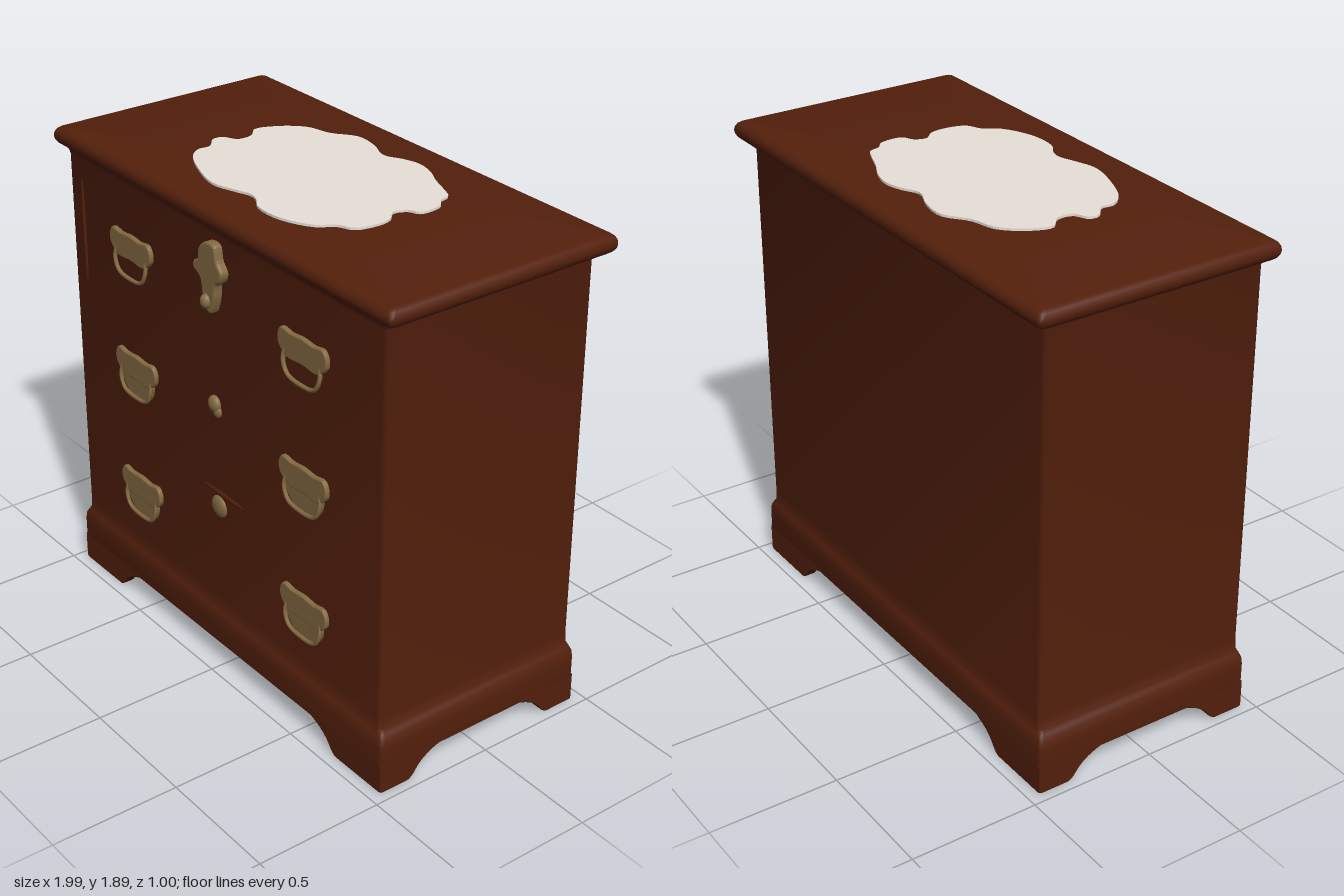
import * as THREE from 'three';
import { toCreasedNormals } from 'three/addons/utils/BufferGeometryUtils.js';

// Closed skin through rounded-rectangle rings: [halfWidth, back z, front z, y]
function ringSkin(levels) {
  const pos = [], index = [], n = 16;
  for (const [hx, z0, z1, y] of levels) {
    const r = Math.min(0.018, hx), zc = (z0 + z1) / 2, hz = (z1 - z0) / 2;
    for (let k = 0; k < 4; k++) {
      const sx = k === 0 || k === 3 ? 1 : -1, sz = k < 2 ? 1 : -1;
      for (let i = 0; i < 4; i++) {
        const a = (k + i / 3) * Math.PI / 2;
        pos.push(sx * (hx - r) + r * Math.cos(a), y, zc + sz * (hz - r) + r * Math.sin(a));
      }
    }
  }
  for (let l = 0; l < levels.length - 1; l++) {
    for (let j = 0; j < n; j++) {
      const a = l * n + j, b = l * n + (j + 1) % n;
      index.push(a, a + n, b, b, a + n, b + n);
    }
  }
  const geo = new THREE.BufferGeometry();
  geo.setAttribute('position', new THREE.Float32BufferAttribute(pos, 3));
  geo.setIndex(index);
  return toCreasedNormals(geo, 0.7);
}

export function createModel() {
  const model = new THREE.Group();
  model.name = 'chestOfDrawers';
  const mat = (name, color) => {
    const m = new THREE.MeshStandardMaterial({ color });
    m.name = name;
    return m;
  };
  const wood = mat('mahogany', 0x54200c);
  const brass = mat('agedBrass', 0x846a42);
  const linen = mat('linen', 0xebe4dc);

  const add = (name, geo, material, x = 0, y = 0, z = 0, parent = model) => {
    const mesh = new THREE.Mesh(geo, material);
    mesh.name = name;
    mesh.position.set(x, y, z);
    parent.add(mesh);
    return mesh;
  };
  const extrude = (shape, depth, bevel = 0) => new THREE.ExtrudeGeometry(shape, {
    depth, curveSegments: 10, bevelEnabled: bevel > 0, bevelSize: bevel,
    bevelThickness: bevel, bevelOffset: -bevel, bevelSegments: 3,
  });
  // Closed smooth outline through a few points
  const outline = (pts, n = 60) => {
    const curve = new THREE.CatmullRomCurve3(
      pts.map(([x, y]) => new THREE.Vector3(x, y, 0)), true, 'centripetal');
    return new THREE.Shape(curve.getPoints(n).slice(0, -1).map(p => new THREE.Vector2(p.x, p.y)));
  };

  // Case: recessed underside, plinth, ovolo, walls, cove and bullnose top in one skin
  const levels = [
    [0, 0, 0, 0.13], [0.917, 0.408, 0.13], [0.917, 0.408, 0.105], [0.963, 0.454, 0.105],
    [0.965, 0.456, 0.13], [0.965, 0.456, 0.195], [0.961, 0.454, 0.222], [0.949, 0.447, 0.242],
    [0.94, 0.442, 0.255], [0.937, 0.441, 0.3], [0.937, 0.441, 1.79], [0.942, 0.445, 1.808],
    [0.952, 0.452, 1.817],
  ].map(l => (l.length === 3 ? [l[0], -l[1], l[1], l[2]] : l));
  for (let i = 0; i <= 8; i++) {
    const a = (i / 8 - 0.5) * Math.PI, inset = 0.03 * (1 - Math.cos(a));
    levels.push([0.995 - inset, -0.5 + inset, 0.475 - inset, 1.852 + 0.035 * Math.sin(a)]);
  }
  levels.push([0, 0, 0, 1.887]);
  add('case', ringSkin(levels), wood);

  // Bracket feet: two shaped boards meeting at each corner
  const footShape = (s, half, foot, arch) => {
    const shape = new THREE.Shape();
    shape.moveTo(s * half, 0.118);
    shape.lineTo(s * half, 0.016);
    shape.quadraticCurveTo(s * half, 0.004, s * (half - 0.015), 0.004);
    shape.lineTo(s * (foot + 0.02), 0.004);
    shape.quadraticCurveTo(s * foot, 0.006, s * (foot - 0.02), 0.035);
    shape.quadraticCurveTo(s * (foot * 0.6 + arch * 0.4), 0.08, s * arch, 0.103);
    shape.lineTo(s * arch, 0.118);
    return shape;
  };
  for (const sx of [1, -1]) {
    for (const sz of [1, -1]) {
      const long = extrude(footShape(sx, 0.964, 0.69, 0.56), 0.036, 0.005).translate(0, 0, -0.018);
      const short = extrude(footShape(-sz, 0.455, 0.315, 0.19), 0.036, 0.005)
        .translate(0, 0, -0.018).rotateY(Math.PI / 2);
      add('longFootBracket', long, wood, 0, 0, sz * 0.432);
      add('sideFootBracket', short, wood, sx * 0.941, 0, 0);
    }
  }

  // Scalloped cloth on the top, points given as x and z
  const cloth = [
    [0, -0.303], [0.07, -0.335], [0.14, -0.352], [0.22, -0.335], [0.29, -0.3], [0.38, -0.265],
    [0.42, -0.245], [0.435, -0.2], [0.468, -0.17], [0.472, -0.08], [0.43, -0.055], [0.415, -0.01],
    [0.455, 0.04], [0.46, 0.12], [0.44, 0.18], [0.385, 0.21], [0.34, 0.27], [0.22, 0.325],
    [0.1, 0.325], [0.05, 0.295], [0, 0.283], [-0.07, 0.305], [-0.16, 0.328], [-0.28, 0.3],
    [-0.41, 0.24], [-0.45, 0.19], [-0.45, 0.14], [-0.5, 0.09], [-0.495, 0.05], [-0.445, 0.02],
    [-0.445, -0.04], [-0.49, -0.09], [-0.465, -0.17], [-0.42, -0.23], [-0.38, -0.26],
    [-0.29, -0.285], [-0.2, -0.345], [-0.1, -0.338],
  ];
  add('tableCloth', extrude(outline(cloth.map(([x, z]) => [x, -z]), 150), 0.009).rotateX(-Math.PI / 2),
    linen, 0, 1.887, 0);

  // Bail pulls: lobed backplate, hanging handle, and a lower plate on two rows
  const plateGeo = extrude(outline([
    [-0.115, 0.083], [-0.06, 0.078], [0, 0.083], [0.06, 0.078], [0.115, 0.083], [0.133, 0.055],
    [0.13, 0.02], [0.1, -0.01], [0.075, -0.02], [0, -0.015], [-0.075, -0.02], [-0.1, -0.01],
    [-0.13, 0.02], [-0.133, 0.055],
  ]), 0.014, 0.006);
  const lowerGeo = extrude(outline([
    [-0.1, 0.01], [0.1, 0.01], [0.098, -0.045], [0.06, -0.085], [-0.06, -0.085], [-0.098, -0.045],
  ]), 0.008, 0.004);
  const bailGeo = new THREE.TubeGeometry(new THREE.CatmullRomCurve3([
    [-0.095, 0.02, 0.012], [-0.1, -0.03, 0.02], [-0.075, -0.075, 0.022], [0, -0.088, 0.022],
    [0.075, -0.075, 0.022], [0.1, -0.03, 0.02], [0.095, 0.02, 0.012],
  ].map(p => new THREE.Vector3(...p))), 32, 0.008, 8);
  [1.52, 1.03, 0.51].forEach((y, row) => {
    for (const s of [1, -1]) {
      const pull = new THREE.Group();
      pull.name = s > 0 ? 'leftPull' : 'rightPull';
      pull.position.set(s * 0.517, y, 0.438);
      add('backplate', plateGeo, brass, 0, 0, 0, pull);
      add('bail', bailGeo, brass, 0, 0, 0, pull);
      if (row > 0) add('lowerPlate', lowerGeo, brass, 0, 0, 0, pull);
      model.add(pull);
    }
  });

  // Lock plate on the top drawer with a hanging drop
  add('lockPlate', extrude(outline([
    [-0.01, 1.765], [0.045, 1.765], [0.06, 1.71], [0.085, 1.675], [0.075, 1.64], [0.05, 1.62],
    [0.04, 1.56], [0.012, 1.5], [-0.025, 1.525], [-0.045, 1.62], [-0.083, 1.645], [-0.083, 1.67],
    [-0.055, 1.69], [-0.05, 1.73],
  ]), 0.026, 0.01), brass, 0, 0, 0.438);
  add('lockDrop', new THREE.SphereGeometry(0.024, 16, 12).scale(1, 1.2, 1), brass, -0.005, 1.545, 0.472);

  // Keyhole covers on the lower drawers
  const button = new THREE.SphereGeometry(1, 20, 14);
  add('middleKeyhole', button, brass, -0.01, 1.13, 0.445).scale.set(0.032, 0.033, 0.022);
  add('middleKeyholeTail', button, brass, 0.005, 1.105, 0.445).scale.set(0.022, 0.025, 0.014);
  add('lowerKeyhole', button, brass, -0.003, 0.705, 0.44).scale.set(0.046, 0.044, 0.018);

  // Slender raised splits in the drawer fronts
  add('lowerSplit', button, wood, 0.025, 0.762, 0.44).scale.set(0.13, 0.012, 0.008);
  add('sideSplit', button, wood, -0.853, 1.5, 0.44).scale.set(0.011, 0.22, 0.008);

  return model;
}
